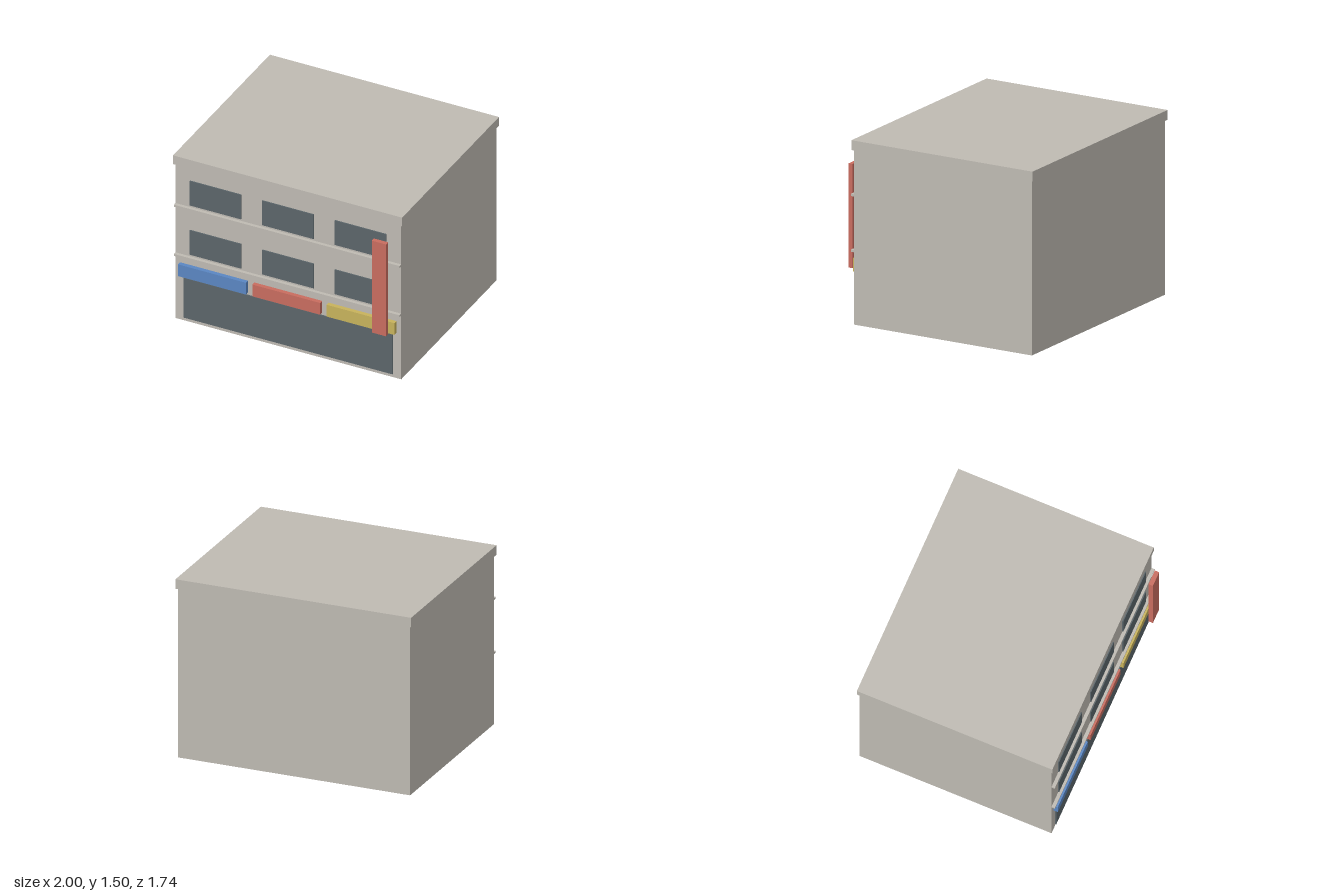
import * as THREE from 'three';

const material = (name, color) => {
  const m = new THREE.MeshStandardMaterial({ color });
  m.name = name;
  return m;
};

export function createModel() {
  const concrete = material('concrete', 0xbebab2);
  const glass = material('dark glass', 0x5b656a);
  const blue = material('blue', 0x5a86c2);
  const red = material('red', 0xc86c5f);
  const yellow = material('yellow', 0xc7b25b);

  const group = new THREE.Group();
  group.name = 'shopBuilding';

  // Box given by its limits on each axis
  const block = (name, mat, [x0, x1], [y0, y1], [z0, z1]) => {
    const mesh = new THREE.Mesh(new THREE.BoxGeometry(x1 - x0, y1 - y0, z1 - z0), mat);
    mesh.position.set((x0 + x1) / 2, (y0 + y1) / 2, (z0 + z1) / 2);
    mesh.name = name;
    group.add(mesh);
  };

  const wall = 0.77; // z of the street wall

  // Main volume and overhanging roof slab
  block('walls', concrete, [-0.985, 0.985], [0, 1.415], [-0.855, wall]);
  block('roofSlab', concrete, [-1, 1], [1.415, 1.495], [-0.87, 0.783]);

  // Shop front at street level
  block('shopWindow', glass, [-0.912, 0.912], [0.03, 0.395], [wall, 0.779]);

  // Two upper floors: a thin ledge and three windows each
  [0.585, 1.037].forEach((y, floor) => {
    block(`ledge${floor + 1}`, concrete, [-0.985, 0.985], [y, y + 0.018], [wall, 0.798]);
    for (const x of [-0.633, 0, 0.633]) {
      block(`window${floor + 1}`, glass, [x - 0.225, x + 0.225], [y + 0.037, y + 0.261], [wall, 0.779]);
    }
  });

  // Row of shop sign boards
  [blue, red, yellow].forEach((mat, i) => {
    const x = (i - 1) * 0.648;
    block('signBoard', mat, [x - 0.296, x + 0.296], [0.415, 0.523], [wall, 0.805]);
  });

  // Tall sign standing off the wall
  block('verticalSign', red, [0.78, 0.904], [0.427, 1.27], [0.833, 0.87]);

  return group;
}
